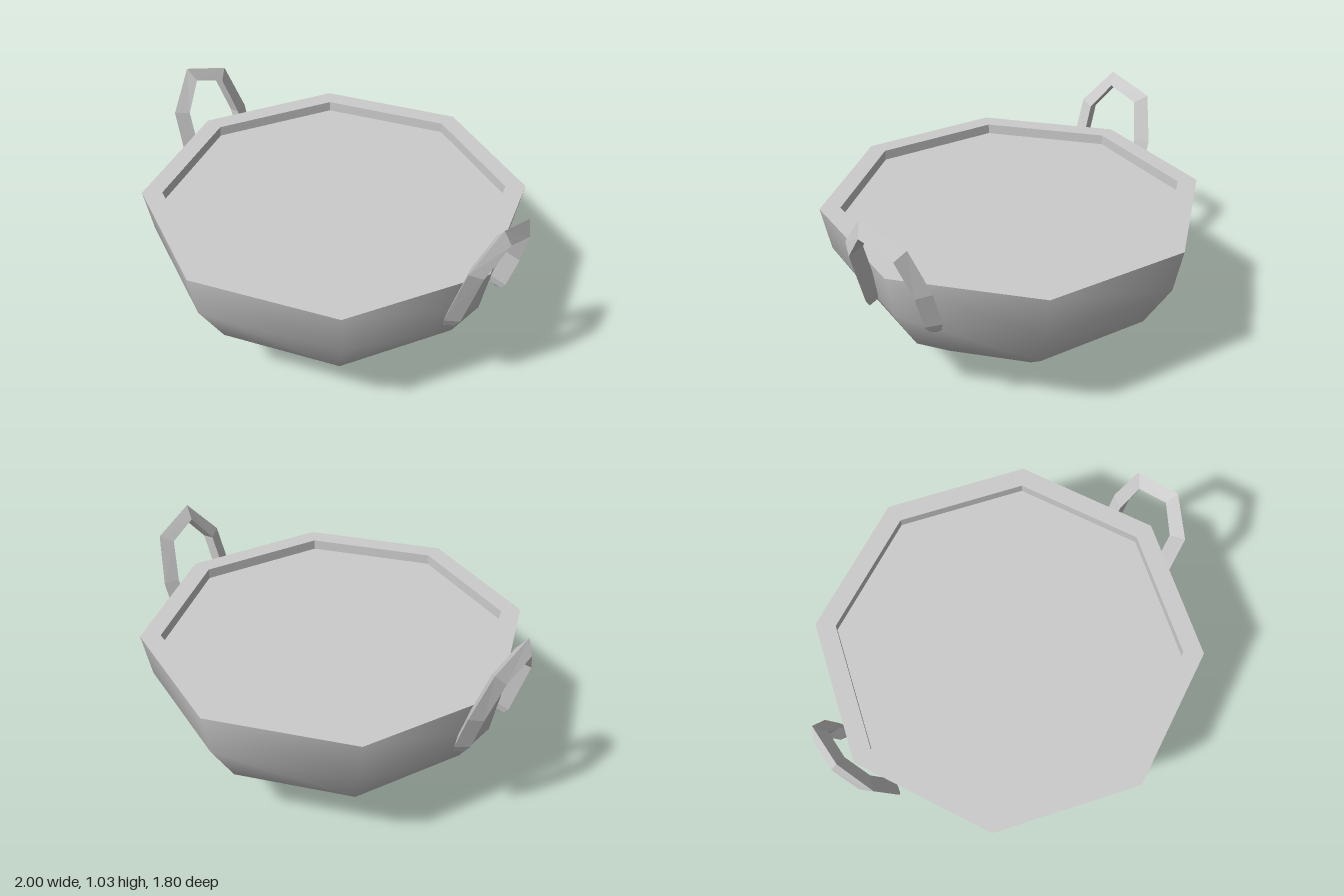
import * as THREE from 'three';

const smooth = new THREE.MeshStandardMaterial({ color: 0xcccccc });
const flat = new THREE.MeshStandardMaterial({ color: 0xcccccc, flatShading: true });

// Eight-sided turned part from [radius, height] pairs
function turned(name, profile, material) {
  const points = profile.map(([r, y]) => new THREE.Vector2(r, y));
  const mesh = new THREE.Mesh(new THREE.LatheGeometry(points, 8), material);
  mesh.name = name;
  return mesh;
}

// Three-sided bar swept along a leaning arch; side is +1 (left) or -1 (right)
function handle(name, side) {
  // z, y and section scale along the arch
  const path = [
    [0.163, 0.505, 0.01], [0.163, 0.52, 0.65], [0.163, 0.56, 1.0], [0.15, 0.84, 1],
    [0.035, 0.987, 1], [-0.144, 0.925, 1], [-0.195, 0.73, 1],
    [-0.193, 0.56, 1.0], [-0.193, 0.52, 0.65], [-0.193, 0.5, 0.01],
  ];
  const centres = path.map(([z, y]) => new THREE.Vector3(0.83 + 0.31 * (y - 0.55), y, z));
  const normal = new THREE.Vector3(1, -0.31, 0).normalize();
  const corners = [-20, 100, 220].map(THREE.MathUtils.degToRad);
  const positions = [], index = [];

  centres.forEach((c, i) => {
    const before = centres[Math.max(i - 1, 0)];
    const after = centres[Math.min(i + 1, centres.length - 1)];
    const d1 = c.clone().sub(before).normalize(), d2 = after.clone().sub(c).normalize();
    const outward = normal.clone().cross(d1.add(d2).normalize());
    for (const a of corners) {
      const r = 0.044 * path[i][2];
      const p = c.clone()
        .addScaledVector(normal, r * Math.cos(a))
        .addScaledVector(outward, r * Math.sin(a));
      positions.push(p.x * side, p.y, p.z);
    }
  });

  for (let i = 0; i < path.length - 1; i++) {
    for (let k = 0; k < 3; k++) {
      const a = i * 3 + k, b = i * 3 + (k + 1) % 3;
      const faces = [[a, a + 3, b], [b, a + 3, b + 3]];
      for (const f of faces) index.push(...(side > 0 ? f : f.reverse()));
    }
  }

  const geometry = new THREE.BufferGeometry();
  geometry.setAttribute('position', new THREE.Float32BufferAttribute(positions, 3));
  geometry.setIndex(index);
  geometry.computeVertexNormals();
  const mesh = new THREE.Mesh(geometry, flat);
  mesh.name = name;
  return mesh;
}

export function createModel() {
  const model = new THREE.Group();
  model.name = 'handledBowl';

  // Rounded outer shell with a small closed base
  model.add(turned('bowlShell', [
    [0, 0], [0.3, 0], [0.335, 0.03], [0.51, 0.13], [0.73, 0.305], [0.86, 0.525], [0.9, 0.735],
  ], smooth));

  // Flat rim and the short wall inside it
  model.add(turned('rim', [[0.9, 0.735], [0.805, 0.735], [0.805, 0.68]], flat));

  // Level surface of the contents
  model.add(turned('contents', [[0.805, 0.685], [0, 0.685]], flat));

  // Pair of arched handles
  model.add(handle('leftHandle', 1), handle('rightHandle', -1));

  return model;
}
